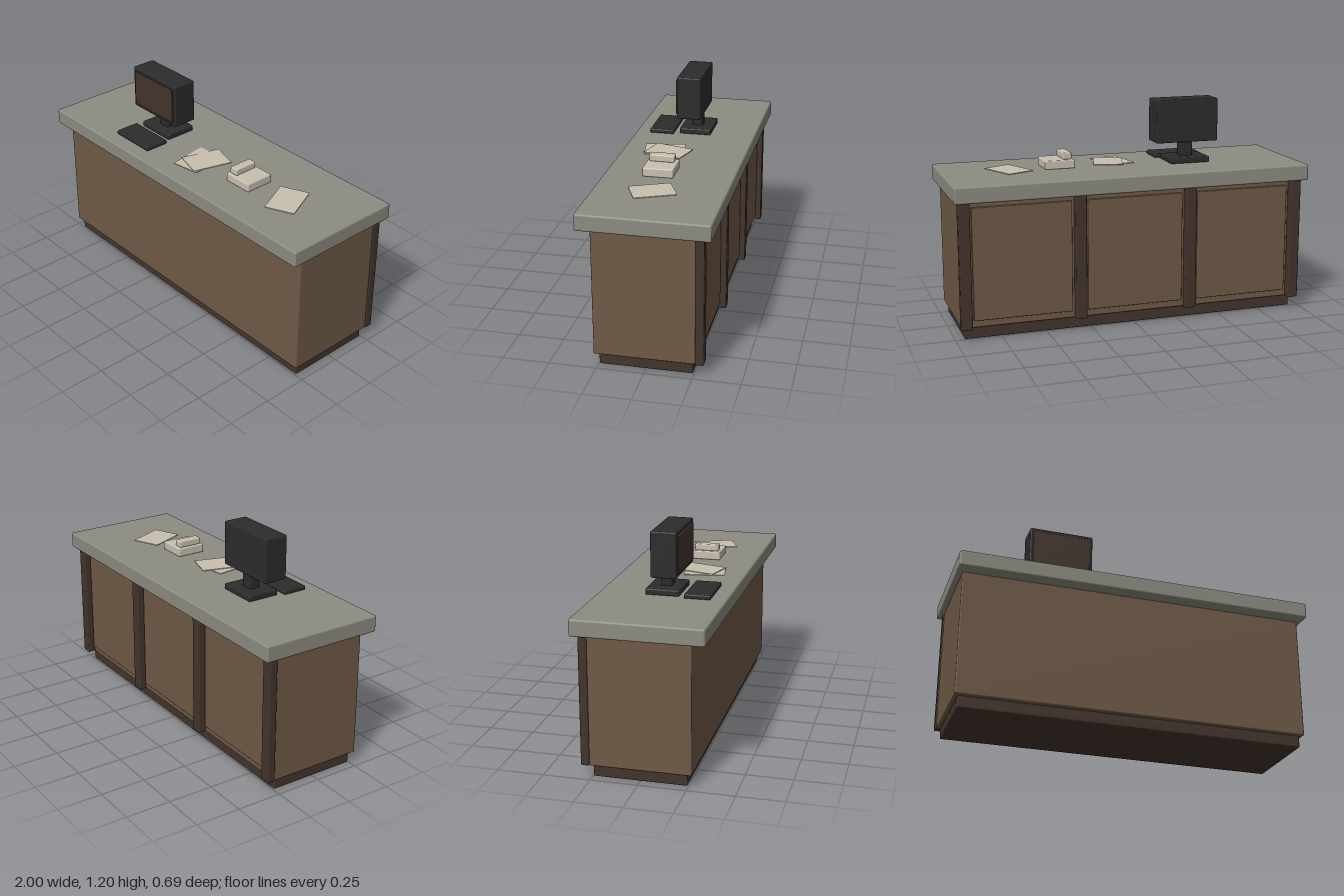
import * as THREE from 'three';
import { RoundedBoxGeometry } from 'three/addons/geometries/RoundedBoxGeometry.js';

const material = (name, color) => {
  const m = new THREE.MeshStandardMaterial({ color });
  m.name = name;
  return m;
};

export function createModel() {
  const wood = material('wood', 0x6f5a46);
  const darkWood = material('darkWood', 0x43342c);
  const stone = material('stone', 0x8c8c82);
  const black = material('blackPlastic', 0x2c2c2c);
  const cream = material('cream', 0xc8c0b0);

  const model = new THREE.Group();
  model.name = 'receptionDesk';

  // Softly bevelled box given by its extents on each axis
  const box = (parent, name, mat, [x0, x1], [y0, y1], [z0, z1], bevel = 0.007) => {
    const geo = new RoundedBoxGeometry(x1 - x0, y1 - y0, z1 - z0, 2, bevel);
    const mesh = new THREE.Mesh(geo, mat);
    mesh.position.set((x0 + x1) / 2, (y0 + y1) / 2, (z0 + z1) / 2);
    mesh.name = name;
    parent.add(mesh);
    return mesh;
  };
  const group = (name) => {
    const g = new THREE.Group();
    g.name = name;
    model.add(g);
    return g;
  };

  // Counter
  const counter = group('counter');
  box(counter, 'plinth', darkWood, [-0.95, 0.95], [0, 0.066], [-0.245, 0.245]);
  box(counter, 'body', wood, [-0.97, 0.97], [0.065, 0.757], [-0.262, 0.27]);
  box(counter, 'countertop', stone, [-1, 1], [0.756, 0.846], [-0.343, 0.343], 0.01);

  // Back posts with raised panels between them
  const pitch = 0.63;
  for (let i = 0; i < 4; i++) {
    const x = (i - 1.5) * pitch;
    box(counter, 'backPost', darkWood, [x - 0.031, x + 0.031], [0.065, 0.757], [-0.305, -0.26]);
  }
  for (let i = -1; i <= 1; i++) {
    const x = i * pitch;
    box(counter, 'backPanel', wood, [x - 0.272, x + 0.272], [0.105, 0.72], [-0.275, -0.255], 0.004);
  }

  // Monitor
  const monitor = group('monitor');
  box(monitor, 'monitorBase', black, [-0.503, -0.273], [0.845, 0.878], [-0.092, 0.09]);
  box(monitor, 'monitorNeck', black, [-0.423, -0.35], [0.87, 0.965], [-0.03, 0.03]);
  box(monitor, 'monitorCase', black, [-0.57, -0.204], [0.957, 1.2], [-0.045, 0.092]);
  box(monitor, 'screen', darkWood, [-0.553, -0.223], [0.978, 1.18], [0.085, 0.1], 0.004);

  // Keyboard
  box(model, 'keyboard', black, [-0.525, -0.25], [0.845, 0.869], [0.12, 0.261]);

  // Telephone
  const phone = group('telephone');
  box(phone, 'phoneBase', cream, [0.27, 0.44], [0.845, 0.894], [-0.03, 0.136]);
  box(phone, 'handset', cream, [0.284, 0.335], [0.893, 0.931], [-0.014, 0.123]);

  // Loose papers: x, z, turn, underside height
  const papers = [
    [0.012, 0.11, 0.16, 0.846],
    [0.046, 0.083, -0.28, 0.85],
    [0.628, 0.035, 0.42, 0.846],
  ];
  for (const [x, z, turn, y] of papers) {
    const sheet = new THREE.Mesh(new THREE.BoxGeometry(0.163, 0.004, 0.224), cream);
    sheet.position.set(x, y + 0.002, z);
    sheet.rotation.y = turn;
    sheet.name = 'paper';
    model.add(sheet);
  }

  return model;
}
